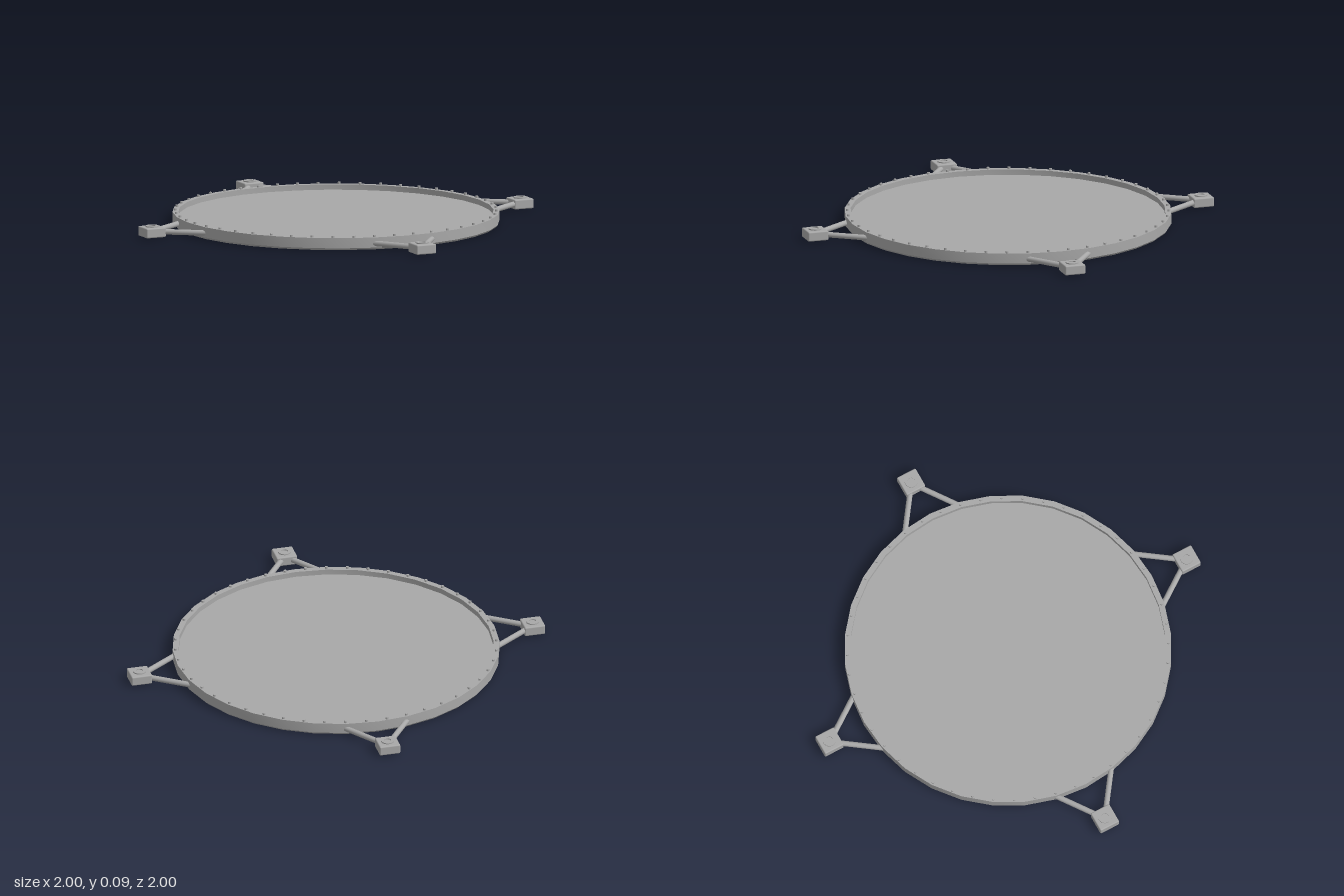
import * as THREE from 'three';
import { toCreasedNormals } from 'three/addons/utils/BufferGeometryUtils.js';
import { RoundedBoxGeometry } from 'three/addons/geometries/RoundedBoxGeometry.js';

const SEGMENTS = 32;
const BOLTS = 48;

// Revolve a profile of [radius, y] points, keeping hard edges crisp
function revolve(points, segments) {
  const profile = points.map(([r, y]) => new THREE.Vector2(r, y));
  return toCreasedNormals(new THREE.LatheGeometry(profile, segments), 0.5);
}

// Cylinder between two points
function rod(a, b, radius, material) {
  const dir = b.clone().sub(a);
  const mesh = new THREE.Mesh(new THREE.CylinderGeometry(radius, radius, dir.length(), 16), material);
  mesh.position.copy(a).add(b).multiplyScalar(0.5);
  mesh.quaternion.setFromUnitVectors(new THREE.Vector3(0, 1, 0), dir.normalize());
  return mesh;
}

export function createModel() {
  const metal = new THREE.MeshStandardMaterial({ color: 0xa8a8a8 });
  metal.name = 'grey metal';
  const model = new THREE.Group();
  model.name = 'mountedDish';

  // Shallow dish: flat underside with a chamfer, raised rim, recessed floor
  const dish = new THREE.Mesh(revolve([
    [0, 0], [0.988, 0], [0.998, 0.012], [0.998, 0.075],
    [0.962, 0.075], [0.962, 0.042], [0, 0.042],
  ], SEGMENTS), metal);
  dish.name = 'dish';
  model.add(dish);

  // Ring of small bolts on the rim
  const bolts = new THREE.Group();
  bolts.name = 'rimBolts';
  const boltGeometry = new THREE.CylinderGeometry(0.009, 0.009, 0.018, 10);
  for (let i = 0; i < BOLTS; i++) {
    const a = ((i + 0.5) / BOLTS) * Math.PI * 2;
    const bolt = new THREE.Mesh(boltGeometry, metal);
    bolt.name = 'rimBolt';
    bolt.position.set(Math.sin(a) * 0.98, 0.078, Math.cos(a) * 0.98);
    bolts.add(bolt);
  }
  model.add(bolts);

  // Four corner mounts, each a block with a collar and two struts
  const blockGeometry = new RoundedBoxGeometry(0.13, 0.06, 0.13, 2, 0.008);
  const collarGeometry = revolve([
    [0.04, 0.062], [0.04, 0.073], [0.022, 0.073], [0.022, 0.067], [0, 0.067],
  ], 20);
  for (const sx of [-1, 1]) {
    for (const sz of [-1, 1]) {
      const mount = new THREE.Group();
      mount.name = 'cornerMount';

      const block = new THREE.Mesh(blockGeometry, metal);
      block.name = 'mountBlock';
      block.position.set(sx * 0.876, 0.036, sz * 0.876);
      block.rotation.y = Math.PI / 4;
      mount.add(block);

      const collar = new THREE.Mesh(collarGeometry, metal);
      collar.name = 'mountCollar';
      collar.position.set(sx * 0.876, 0, sz * 0.876);
      mount.add(collar);

      const hub = new THREE.Vector3(sx * 0.86, 0.037, sz * 0.872);
      const hub2 = new THREE.Vector3(sx * 0.872, 0.037, sz * 0.86);
      const ends = [
        [hub, new THREE.Vector3(sx * 0.54, 0.037, sz * 0.818)],
        [hub2, new THREE.Vector3(sx * 0.818, 0.037, sz * 0.54)],
      ];
      for (const [from, to] of ends) {
        const strut = rod(from, to, 0.017, metal);
        strut.name = 'mountStrut';
        mount.add(strut);
      }
      model.add(mount);
    }
  }
  return model;
}
